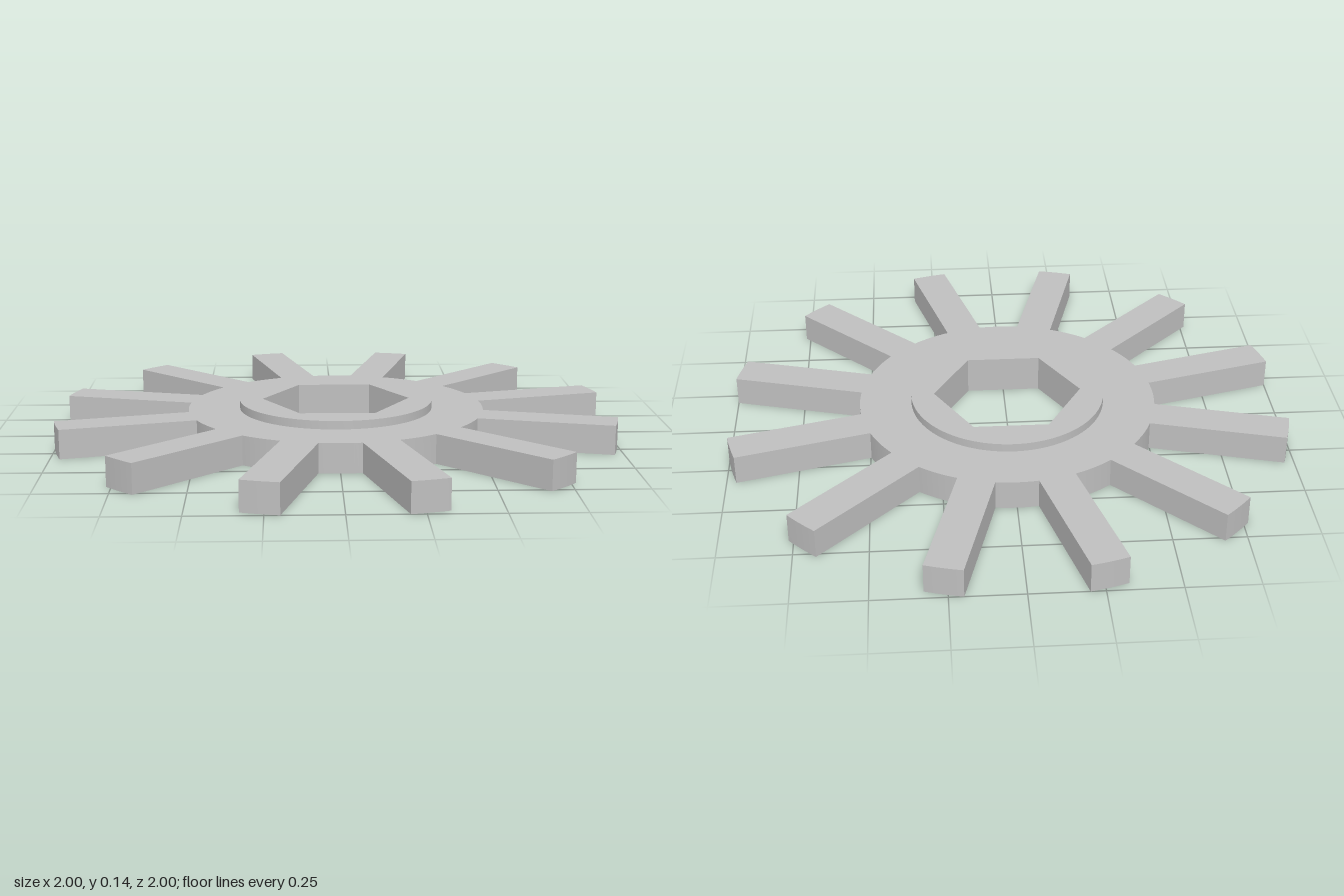
import * as THREE from 'three';
import { toCreasedNormals } from 'three/addons/utils/BufferGeometryUtils.js';

const BODY_R = 0.537, TIP_R = 1.02, HUB_R = 0.35, HEX_R = 0.267;
const HALF_WIDTH = 0.066, BODY_H = 0.105, HUB_H = 0.03, SPOKES = 12;

// Hexagonal bore with corners on the x axis
function hexHole() {
  const points = [];
  for (let i = 0; i < 6; i++) {
    const a = -i * Math.PI / 3;
    points.push(new THREE.Vector2(HEX_R * Math.cos(a), HEX_R * Math.sin(a)));
  }
  return new THREE.Path(points);
}

// Extrudes a plan outline upward from height y
function slab(name, shape, y, height, curveSegments, material) {
  shape.holes.push(hexHole());
  const flat = new THREE.ExtrudeGeometry(shape, { depth: height, bevelEnabled: false, curveSegments });
  flat.rotateX(-Math.PI / 2);
  flat.translate(0, y, 0);
  const mesh = new THREE.Mesh(toCreasedNormals(flat, Math.PI / 7), material);
  mesh.name = name;
  return mesh;
}

export function createModel() {
  const group = new THREE.Group();
  group.name = 'spokedWheel';
  const grey = new THREE.MeshStandardMaterial({ color: 0xbfbfbf });
  grey.name = 'plainGrey';

  // Disc and parallel-sided spokes as one outline, arcs joined by straight flanks
  const outline = new THREE.Shape();
  const step = 2 * Math.PI / SPOKES;
  const root = Math.asin(HALF_WIDTH / BODY_R);
  const tip = Math.asin(HALF_WIDTH / TIP_R);
  for (let i = 0; i < SPOKES; i++) {
    const a = (i + 0.5) * step;
    outline.absarc(0, 0, TIP_R, a - tip, a + tip, false);
    outline.absarc(0, 0, BODY_R, a + root, a + step - root, false);
  }
  outline.closePath();
  group.add(slab('spokedDisc', outline, 0, BODY_H, 6, grey));

  // Raised round collar around the bore
  const collar = new THREE.Shape().absarc(0, 0, HUB_R, 0, 2 * Math.PI, false);
  group.add(slab('hubCollar', collar, BODY_H, HUB_H, 72, grey));

  return group;
}
